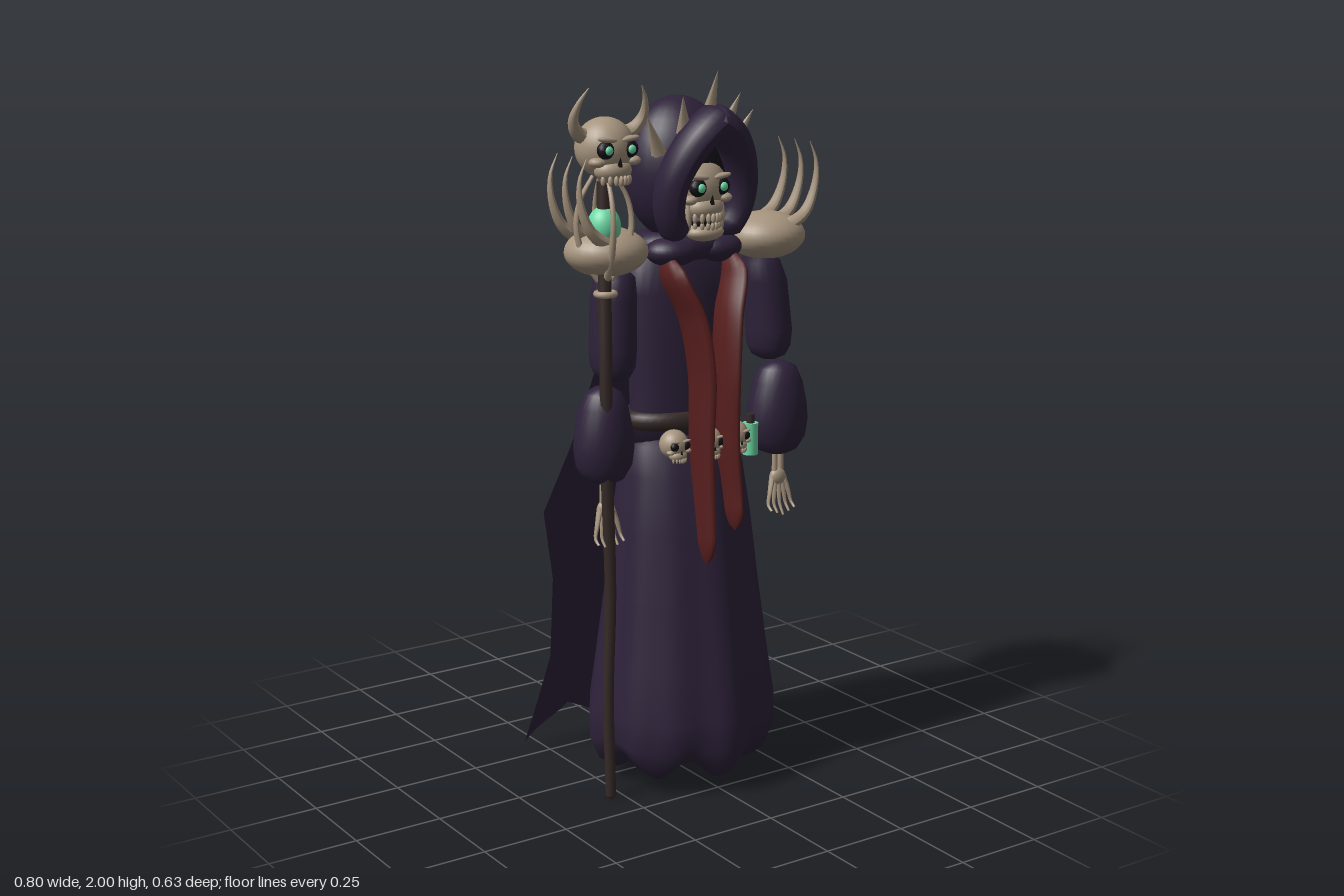
import * as THREE from 'three';

const paint = (name, color, side = THREE.FrontSide) => {
  const m = new THREE.MeshStandardMaterial({ color, side });
  m.name = name;
  return m;
};
const V = (p) => new THREE.Vector3(...p);

// Smooth skin over elliptical rings [y, rx, rz, cx, cz], listed top to bottom
function loft(rings, n = 32, rule = null) {
  const pos = [], idx = [];
  rings.forEach(([y, rx, rz, cx = 0, cz = 0], i) => {
    for (let j = 0; j < n; j++) {
      const a = (j / n) * Math.PI * 2;
      const [k, dy] = rule ? rule(a, i / (rings.length - 1)) : [1, 0];
      pos.push(cx + Math.sin(a) * rx * k, y + dy, cz + Math.cos(a) * rz * k);
    }
  });
  for (let i = 0; i < rings.length - 1; i++) for (let j = 0; j < n; j++) {
    const a = i * n + j, b = i * n + (j + 1) % n;
    idx.push(a, a + n, b, b, a + n, b + n);
  }
  // caps
  const last = rings.length - 1, c = pos.length / 3;
  for (const i of [0, last]) pos.push(rings[i][3] || 0, rings[i][0], rings[i][4] || 0);
  for (let j = 0; j < n; j++) {
    const k = (j + 1) % n;
    idx.push(c, j, k, c + 1, last * n + k, last * n + j);
  }
  const g = new THREE.BufferGeometry();
  g.setAttribute('position', new THREE.Float32BufferAttribute(pos, 3));
  g.setIndex(idx);
  g.computeVertexNormals();
  return g;
}

// Tube along a curve whose thickness follows size(t); sx and sz flatten it
function taper(points, r, size = (t) => 1 - 0.95 * t, sides = 8, seg = 16, sx = 1, sz = 1) {
  const curve = new THREE.CatmullRomCurve3(points.map(V));
  const g = new THREE.TubeGeometry(curve, seg, r, sides);
  const p = g.attributes.position, v = new THREE.Vector3();
  for (let i = 0; i <= seg; i++) {
    const c = curve.getPointAt(i / seg), k = size(i / seg);
    for (let j = 0; j <= sides; j++) {
      const q = i * (sides + 1) + j;
      v.fromBufferAttribute(p, q).sub(c).multiplyScalar(k);
      p.setXYZ(q, c.x + v.x * sx, c.y + v.y, c.z + v.z * sz);
    }
  }
  g.computeVertexNormals();
  return g;
}
const rounded = (t) => Math.max(0.02, Math.min(1, Math.sqrt(Math.min(t, 1 - t) * 14)));

export function createModel() {
  const cloth = paint('dark purple cloth', 0x2e223a);
  const capeCloth = paint('cape cloth', 0x2e223a, THREE.DoubleSide);
  const bone = paint('bone', 0xa6947e);
  const red = paint('dark red stole', 0x561e1d);
  const wood = paint('dark brown wood and leather', 0x352a27);
  const black = paint('black hollow', 0x120f14);
  const green = paint('glowing green', 0x6ad8a4);

  const root = new THREE.Group();
  const add = (parent, name, geo, mat, p = [0, 0, 0], s = [1, 1, 1]) => {
    const m = new THREE.Mesh(geo, mat);
    m.name = name;
    m.position.set(...p);
    m.scale.set(...s);
    parent.add(m);
    return m;
  };
  const ball = new THREE.SphereGeometry(1, 28, 20);
  const smallBall = new THREE.SphereGeometry(1, 12, 8);

  // Skull of unit radius, facing +z
  function skull(name, p, r, hasJaw, glowing) {
    const g = new THREE.Group();
    g.name = name;
    g.position.set(...p);
    g.scale.setScalar(r);
    root.add(g);
    add(g, 'cranium', ball, bone);
    add(g, 'upperJaw', ball, bone, [0, -0.7, 0.5], [0.66, 0.42, 0.52]);
    for (const s of [-1, 1]) {
      add(g, 'eyeSocket', smallBall, black, [s * 0.44, 0, 0.8], [0.34, 0.3, 0.22]);
      if (glowing) add(g, 'eye', smallBall, green, [s * 0.44, 0, 0.98], [0.15, 0.15, 0.1]);
      add(g, 'cheekbone', smallBall, bone, [s * 0.68, -0.4, 0.62], [0.28, 0.17, 0.3]);
      add(g, 'brow', smallBall, bone, [s * 0.42, 0.34, 0.86], [0.38, 0.1, 0.16]).rotation.z = s * 0.12;
    }
    add(g, 'noseHole', new THREE.ConeGeometry(0.14, 0.32, 3), black, [0, -0.4, 0.97], [1, 1, 0.6]);
    for (let i = -3; i <= 3; i++) {
      const z = 1.02 - i * i * 0.035;
      add(g, 'upperTooth', smallBall, bone, [i * 0.17, -1.0, z], [0.08, 0.17, 0.09]);
      if (hasJaw) add(g, 'lowerTooth', smallBall, bone, [i * 0.16, -1.26, z - 0.03], [0.075, 0.14, 0.08]);
    }
    if (hasJaw) {
      add(g, 'mouth', smallBall, black, [0, -1.12, 0.55], [0.58, 0.28, 0.36]);
      add(g, 'jaw', ball, bone, [0, -1.5, 0.52], [0.68, 0.3, 0.52]);
      for (const s of [-1, 1]) add(g, 'jawHinge', smallBall, bone, [s * 0.66, -1.0, 0.42], [0.15, 0.62, 0.24]);
    }
  }

  // Robe: torso and folded skirt with a pointed hem
  add(root, 'torso', loft([[1.54, 0.09, 0.06, 0, 0.06], [1.5, 0.17, 0.085, 0, 0.065], [1.4, 0.175, 0.095, 0, 0.068],
    [1.2, 0.165, 0.095, 0, 0.068], [1.08, 0.16, 0.092, 0, 0.065], [0.98, 0.165, 0.095, 0, 0.06]]), cloth);
  add(root, 'skirt', loft([[1.03, 0.14, 0.085, 0, 0.06], [0.98, 0.17, 0.112, 0, 0.058], [0.9, 0.185, 0.143, 0, 0.06],
    [0.75, 0.205, 0.172, 0, 0.06], [0.55, 0.225, 0.2, 0, 0.062], [0.35, 0.25, 0.23, 0, 0.062],
    [0.22, 0.268, 0.25, 0, 0.062], [0.14, 0.268, 0.25, 0, 0.062], [0.085, 0.24, 0.225, 0, 0.062],
    [0.062, 0.19, 0.175, 0, 0.062]], 96, (a, t) => [
    1 + t * (0.025 * Math.cos(a * 11) + 0.03 * Math.cos(a * 7)),
    t > 0.7 ? (0.7 - t) * 0.1 * Math.cos(a * 7) : 0]), cloth);

  // Cape: open sheet with ragged sides and three hem points, rows [y, halfWidth, z, forwardCurl]
  const rows = [[1.53, 0.1, -0.01, 0.03], [1.45, 0.14, -0.035, 0.02], [1.2, 0.19, -0.09, 0.03], [0.95, 0.25, -0.145, 0.03],
    [0.76, 0.32, -0.185, 0.035], [0.55, 0.275, -0.21, 0.03], [0.3, 0.26, -0.255, 0.03], [0.17, 0.285, -0.283, 0.03], [0.08, 0.325, -0.308, 0.04]];
  const cols = 24, cape = new THREE.PlaneGeometry(1, 1, cols, rows.length - 1), cp = cape.attributes.position;
  rows.forEach(([y, w, z, curl], i) => {
    for (let j = 0; j <= cols; j++) {
      const u = (j / cols) * 2 - 1, t = i / (rows.length - 1);
      const notch = Math.min(Math.abs(u), 1 - Math.abs(u)) * 2;
      const hem = i === rows.length - 1 ? notch * 0.08 - 0.045 : 0;
      cp.setXYZ(i * (cols + 1) + j, u * w, y + hem, z + curl * u * u + 0.006 * t * Math.cos(u * 11));
    }
  });
  cape.computeVertexNormals();
  add(root, 'cape', cape, capeCloth);

  // Hood with a thick front rim that meets in a point
  add(root, 'hood', ball, cloth, [0, 1.725, 0.04], [0.152, 0.195, 0.132]);
  add(root, 'hoodHollow', ball, black, [0, 1.7, 0.1], [0.112, 0.14, 0.09]);
  for (const s of [-1, 1]) {
    add(root, 'hoodRim', taper([[-s * 0.03, 1.88, 0.21], [s * 0.03, 1.845, 0.218], [s * 0.08, 1.785, 0.205],
      [s * 0.112, 1.7, 0.182], [s * 0.108, 1.62, 0.165], [s * 0.07, 1.55, 0.15]], 0.044, (t) => rounded(t) * (1.1 - 0.3 * t), 14, 28, 1, 1.35), cloth);
    add(root, 'collarFold', ball, cloth, [s * 0.07, 1.515, 0.12], [0.078, 0.042, 0.065]);
  }
  const collar = add(root, 'collar', new THREE.TorusGeometry(0.105, 0.038, 12, 32), cloth, [0, 1.525, 0.06], [1, 0.8, 1]);
  collar.rotation.x = Math.PI / 2;
  skull('face', [0, 1.69, 0.13], 0.082, true, true);

  // Crown spikes
  for (const [x, y, z, tx, ty, tz] of [[0, 1.87, 0.185, 0, 2, 0.232], [0.065, 1.835, 0.17, 0.092, 1.935, 0.205], [0.118, 1.78, 0.13, 0.172, 1.885, 0.155]])
    for (const s of x ? [-1, 1] : [1]) {
      const d = V([s * tx, ty, tz]).sub(V([s * x, y, z])), len = d.length();
      const spike = add(root, 'crownSpike', new THREE.ConeGeometry(0.021, len, 6), bone, [s * (x + tx) / 2, (y + ty) / 2, (z + tz) / 2]);
      spike.quaternion.setFromUnitVectors(V([0, 1, 0]), d.normalize());
    }

  // Shoulders, arms and hands
  for (const s of [-1, 1]) {
    const left = s > 0, ux = left ? 0.262 : 0.237, lx = left ? 0.3 : 0.28, w = left ? 1 : 0.92;
    add(root, 'shoulderPad', ball, bone, [s * 0.26, 1.527, 0.092], [0.114, 0.066, 0.108]);
    for (const [z, dz] of [[0.02, -0.005], [0.09, 0], [0.155, 0.005]])
      add(root, 'shoulderSpike', taper([[s * 0.29, 1.555, z], [s * 0.345, 1.59, z + dz], [s * 0.378, 1.66, z + dz],
        [s * 0.382, 1.73, z + dz], [s * 0.36, 1.785, z + dz]], 0.021), bone);
    const o = left ? 0.016 : 0.003;
    add(root, 'upperSleeve', loft([[1.48, 0.03, 0.035, s * (ux - o), 0.09], [1.455, 0.055, 0.06, s * (ux - o), 0.09], [1.4, 0.062, 0.067, s * ux, 0.09],
      [1.26, 0.063, 0.071, s * (ux + o), 0.09], [1.215, 0.059, 0.067, s * (ux + o), 0.09], [1.188, 0.045, 0.052, s * (ux + o), 0.09],
      [1.176, 0.022, 0.026, s * (ux + o), 0.09]], 24), cloth);
    add(root, 'lowerSleeve', loft([[1.165, 0.025, 0.025], [1.15, 0.055, 0.048], [1.11, 0.073, 0.065], [1.05, 0.087, 0.075], [1.0, 0.093, 0.077],
      [0.95, 0.085, 0.072], [0.915, 0.06, 0.055], [0.902, 0.03, 0.03]].map(([y, a, b]) => [y, a * w, b, s * lx, 0.105]), 24), cloth);
    const hx = s * (left ? 0.297 : 0.285), hz = left ? 0.115 : 0.12;
    for (const d of [-0.01, 0.01])
      add(root, 'wristBone', new THREE.CylinderGeometry(0.007, 0.009, 0.1, 8), bone, [hx + d, 0.89, hz]);
    add(root, 'palm', ball, bone, [hx, 0.832, hz], [0.026, 0.026, 0.017]);
    for (let i = -2; i <= 2; i++)
      add(root, i === -2 * s ? 'thumb' : 'finger', taper([[hx + i * 0.009, 0.835, hz], [hx + i * 0.016, 0.79, hz + 0.008],
        [hx + i * 0.02, 0.755, hz + 0.012], [hx + i * 0.02, 0.725 + Math.abs(i) * 0.008, hz + 0.03]], 0.009, (t) => 1 - 0.6 * t, 6, 10), bone);
  }

  // Red stoles, standing out from the chest as deep bands
  for (const [s, x, end] of [[-1, 0.042, 0.665], [1, 0.052, 0.745]])
    add(root, 'stole', taper([[s * 0.1, 1.51, 0.13], [s * 0.096, 1.45, 0.165], [s * 0.06, 1.35, 0.2], [s * 0.042, 1.2, 0.222],
      [s * 0.043, 1.0, 0.225], [s * x, 0.85, 0.235], [s * x, end, 0.25]], 0.026, (t) => rounded(t) * (1.1 - 0.45 * t), 14, 48, 0.85, 2.6), red);

  // Belt with trophies
  const belt = add(root, 'belt', new THREE.TorusGeometry(0.155, 0.024, 10, 40), wood, [0, 1.05, 0.06], [1, 0.64, 1.1]);
  belt.rotation.x = Math.PI / 2;
  for (const x of [-0.1, 0, 0.1]) skull('beltSkull', [x, 0.997, 0.19 - Math.abs(x) * 0.15], 0.04, false, false);
  add(root, 'vial', new THREE.CylinderGeometry(0.022, 0.022, 0.09, 12), green, [0.167, 0.972, 0.16]);
  add(root, 'vialCork', new THREE.CylinderGeometry(0.012, 0.012, 0.035, 10), wood, [0.167, 1.025, 0.16]);

  // Staff
  const sx = -0.29, sz = 0.13;
  add(root, 'staffShaft', taper([[sx, 0.01, 0.145], [sx - 0.003, 0.3, 0.14], [sx + 0.006, 0.6, 0.14], [sx - 0.006, 0.95, 0.145],
    [sx - 0.01, 1.25, 0.15], [sx - 0.006, 1.45, 0.14], [sx, 1.72, sz]], 0.017, (t) => 0.85 + 0.25 * t, 10, 40), wood);
  add(root, 'staffFoot', smallBall, wood, [sx, 0.012, 0.145], [0.014, 0.012, 0.014]);
  add(root, 'staffRing', new THREE.TorusGeometry(0.024, 0.009, 8, 20), bone, [sx - 0.005, 1.425, 0.143]).rotation.x = Math.PI / 2;
  add(root, 'crystal', ball, green, [sx, 1.6, sz], [0.045, 0.055, 0.045]);
  for (let i = 0; i < 4; i++) {
    const a = (i + 0.15) * Math.PI / 2;
    add(root, 'cageRib', taper([[0.015, 1.46], [0.055, 1.52], [0.076, 1.6], [0.066, 1.67], [0.03, 1.735]].map(
      ([r, y]) => [sx + Math.cos(a) * r, y, sz + Math.sin(a) * r]), 0.011, (t) => 1 - 0.5 * t), bone);
  }
  skull('staffSkull', [sx, 1.808, 0.135], 0.079, false, true);
  for (const s of [-1, 1])
    add(root, 'staffHorn', taper([[sx + s * 0.05, 1.835, sz], [sx + s * 0.085, 1.85, sz + 0.01], [sx + s * 0.106, 1.885, sz + 0.025],
      [sx + s * 0.1, 1.93, sz + 0.045], [sx + s * 0.08, 1.968, sz + 0.06]], 0.024, undefined, 10), bone);

  return root;
}
